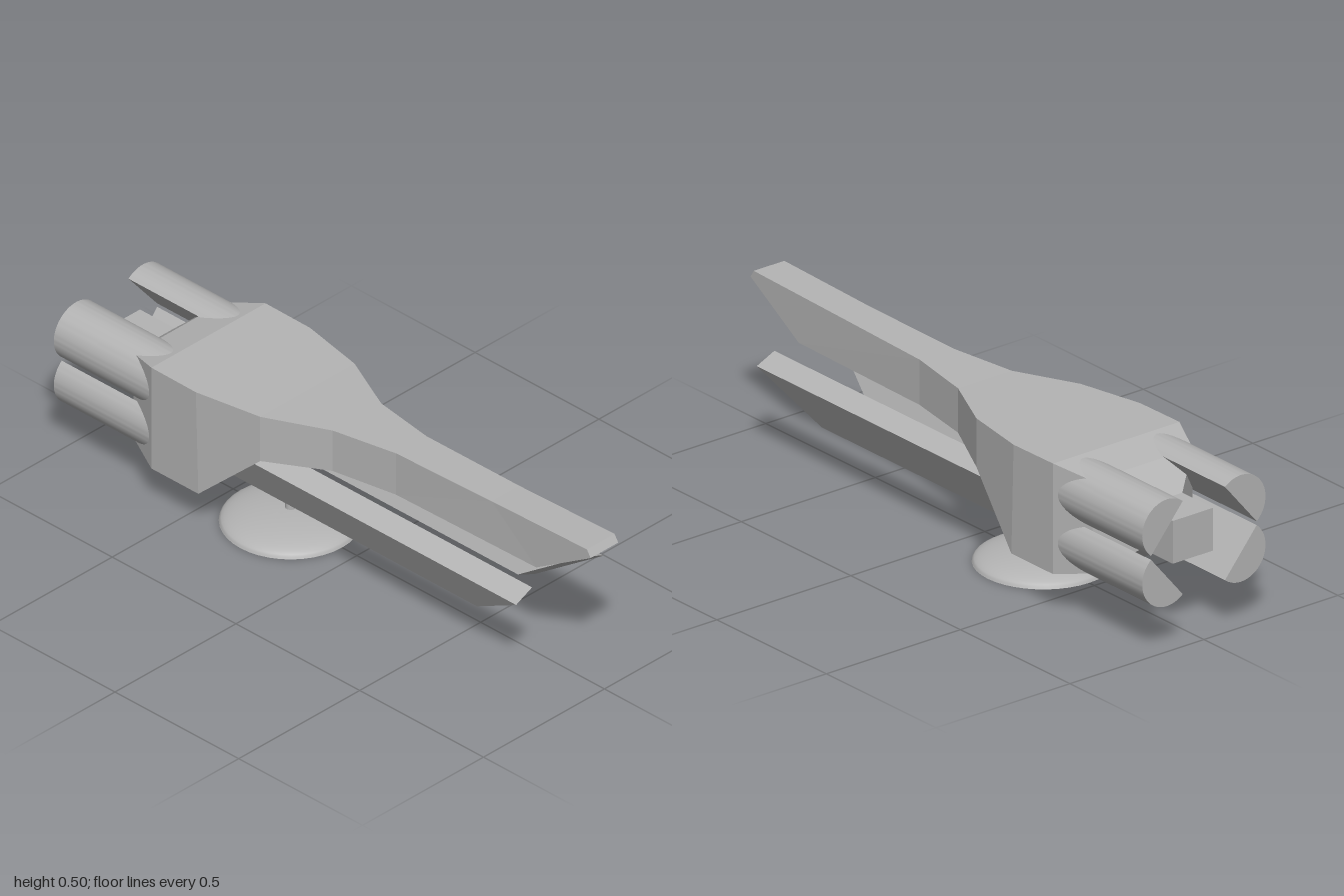
import * as THREE from 'three';
import { toCreasedNormals } from 'three/addons/utils/BufferGeometryUtils.js';

// Flat-faced solid through loops of [x, y, z], front to back, each counter-clockwise seen from the front
function loft(sections) {
  const n = sections[0].length, last = (sections.length - 1) * n;
  const index = [];
  for (let i = 0; i < sections.length - 1; i++) {
    for (let j = 0; j < n; j++) {
      const a = i * n + j, b = i * n + (j + 1) % n;
      index.push(a, a + n, b + n, a, b + n, b);
    }
  }
  for (let j = 1; j < n - 1; j++) {
    index.push(0, j, j + 1, last, last + j + 1, last + j);
  }
  const g = new THREE.BufferGeometry();
  g.setAttribute('position', new THREE.Float32BufferAttribute(sections.flat(2), 3));
  g.setIndex(index);
  const flat = g.toNonIndexed();
  flat.computeVertexNormals();
  return flat;
}

// Rectangular section: half width, top edge and bottom edge, each with its own z
const rect = ([w, topZ, top, bottomZ, bottom]) => [
  [w, top, topZ], [-w, top, topZ], [-w, bottom, bottomZ], [w, bottom, bottomZ],
];

export function createModel() {
  const model = new THREE.Group();
  model.name = 'spaceshipOnStand';
  const grey = new THREE.MeshStandardMaterial({ color: 0xb4b4b4 });
  grey.name = 'plain grey';
  const add = (geometry, name) => {
    const mesh = new THREE.Mesh(geometry, grey);
    mesh.name = name;
    model.add(mesh);
    return mesh;
  };

  // Hull: narrow neck widening to a deep engine section, tapered at the rear
  add(loft([
    [0.057, 0.985, 0.503, 1, 0.48],
    [0.057, 0.6, 0.492, 0.78, 0.346],
    [0.063, 0.22, 0.485, 0.22, 0.342],
    [0.1, 0, 0.48, 0, 0.34],
    [0.195, -0.2, 0.48, -0.2, 0.327],
    [0.236, -0.42, 0.483, -0.41, 0.136],
    [0.236, -0.6, 0.485, -0.6, 0.136],
    [0.187, -0.72, 0.457, -0.72, 0.165],
    [0.075, -0.81, 0.378, -0.81, 0.243],
  ].map(rect)), 'hull');

  // Square block between the engines
  add(loft([
    [0.075, -0.8, 0.378, -0.8, 0.243],
    [0.075, -0.95, 0.378, -0.95, 0.243],
  ].map(rect)), 'tailBlock');

  // Slanted lower prongs with raked tips: [x, y, tip z]
  const prong = [[0.115, 0.323, 0.82], [0.052, 0.187, 0.6], [0.118, 0.157, 0.6], [0.181, 0.293, 0.82]];
  for (const side of [1, -1]) {
    const front = prong.map(([x, y, z]) => [x * side, y, z]);
    if (side < 0) front.reverse();
    const back = front.map(([x, y]) => [x, y, -0.4]);
    add(loft([front, back]), side > 0 ? 'leftProng' : 'rightProng');
  }

  // Four half-round engines, flat sides facing the centre
  const tilt = THREE.MathUtils.degToRad(50), radius = 0.092;
  for (const sx of [1, -1]) {
    for (const sy of [1, -1]) {
      const start = sx > 0 ? (sy > 0 ? -tilt : tilt - Math.PI) : (sy > 0 ? tilt : Math.PI - tilt);
      const shape = new THREE.Shape();
      shape.absarc(0, 0, radius, start, start + Math.PI, false);
      shape.closePath();
      const g = new THREE.ExtrudeGeometry(shape, { depth: 0.4, bevelEnabled: false, curveSegments: 16 });
      const name = (sy > 0 ? 'upper' : 'lower') + (sx > 0 ? 'Left' : 'Right') + 'Engine';
      add(toCreasedNormals(g, 0.6), name).position.set(sx * 0.138, sy > 0 ? 0.389 : 0.236, -1);
    }
  }

  // Stand: domed base and thin pole
  const profile = [new THREE.Vector2(0, 0), new THREE.Vector2(0.208, 0)];
  for (let i = 1; i <= 12; i++) {
    const a = (i / 12) * Math.PI / 2;
    profile.push(new THREE.Vector2(i === 12 ? 0 : 0.208 * Math.cos(a), 0.045 * Math.sin(a)));
  }
  add(toCreasedNormals(new THREE.LatheGeometry(profile, 40), 0.7), 'standBase').position.z = -0.268;
  add(new THREE.CylinderGeometry(0.016, 0.016, 0.28, 24), 'standPole').position.set(0, 0.17, -0.268);

  return model;
}
